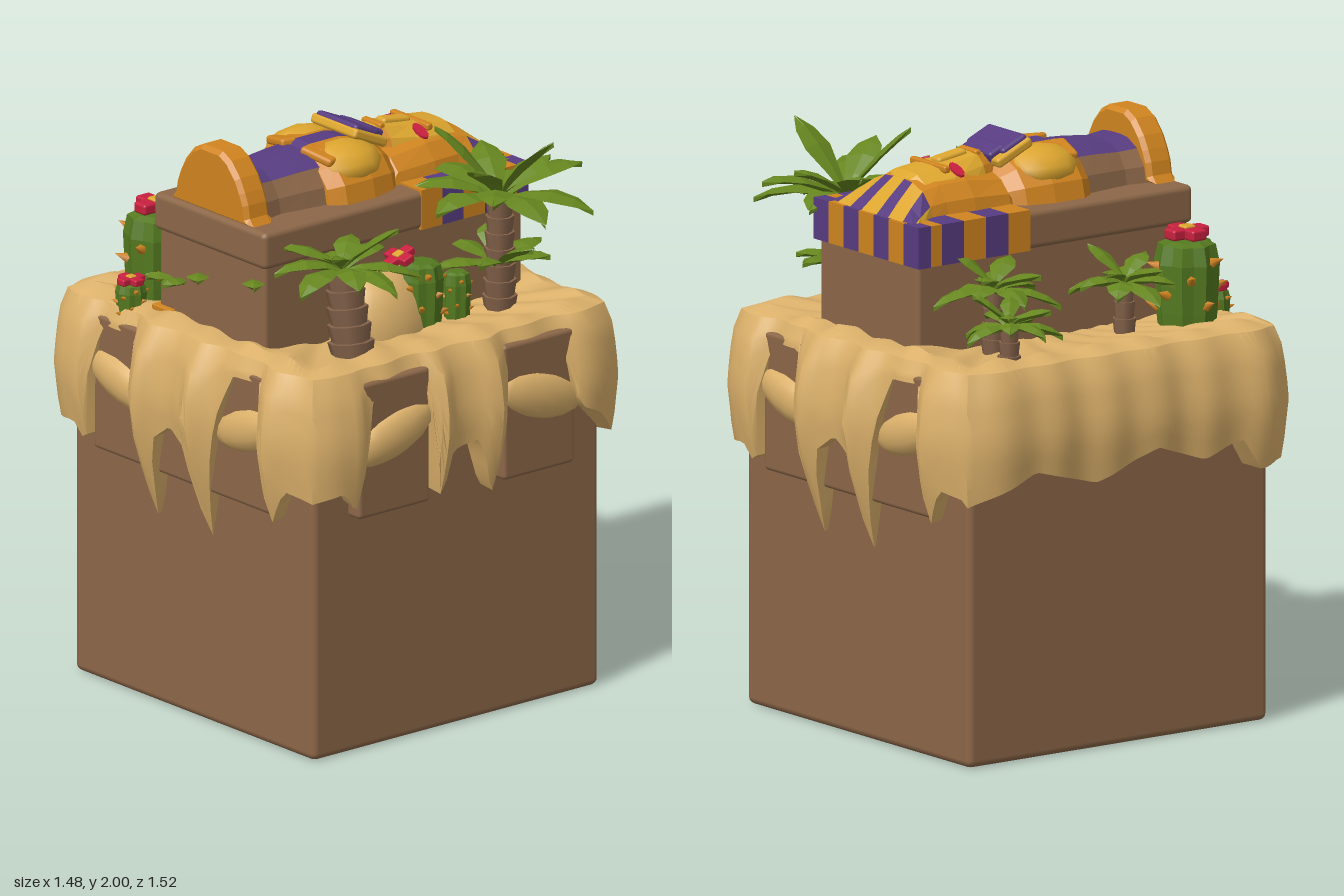
import * as THREE from 'three';
import { toCreasedNormals } from 'three/addons/utils/BufferGeometryUtils.js';
import { RoundedBoxGeometry } from 'three/addons/geometries/RoundedBoxGeometry.js';

const mat = (name, color, extra = {}) => Object.assign(new THREE.MeshStandardMaterial({ color, ...extra }), { name });
const M = {
  stone: mat('stone', 0x8c6748), trunk: mat('bark', 0x84624a),
  sand: mat('sand', 0xdbb06a, { side: THREE.DoubleSide }),
  leaf: mat('leaf green', 0x66861f), cactus: mat('cactus green', 0x547a20),
  gold: mat('gold', 0xdca52e), orange: mat('orange', 0xd0841f),
  purple: mat('purple', 0x573c80), red: mat('red', 0xc8203f),
};
const V = (x, y, z) => new THREE.Vector3(x, y, z);

function add(parent, name, geo, material, x = 0, y = 0, z = 0, rx = 0, ry = 0, rz = 0) {
  const m = new THREE.Mesh(geo, material);
  m.name = name;
  m.position.set(x, y, z);
  m.rotation.set(rx, ry, rz);
  parent.add(m);
  return m;
}
const box = (w, h, d, r = 0.015) => new RoundedBoxGeometry(w, h, d, 2, r);

// Skin over rows of points; pick(row, column) gives a material index
function skin(rows, closed = false, pick = null) {
  const n = rows[0].length, pos = [], geo = new THREE.BufferGeometry();
  for (let i = 0; i < rows.length - 1; i++) {
    for (let j = 0; j < (closed ? n : n - 1); j++) {
      const k = (j + 1) % n;
      const [a, b, c, d] = [rows[i][j], rows[i + 1][j], rows[i + 1][k], rows[i][k]];
      if (pick) geo.addGroup(pos.length / 3, 6, pick(i, j));
      for (const p of [a, b, c, a, c, d]) pos.push(p.x, p.y, p.z);
    }
  }
  geo.setAttribute('position', new THREE.Float32BufferAttribute(pos, 3));
  geo.computeVertexNormals();
  return geo;
}

// Linear lookup in a list of [key, value]
function lookup(list, u) {
  for (let i = 1; i < list.length; i++) {
    const [a, va] = list[i - 1], [b, vb] = list[i];
    if (u <= b) return va + (vb - va) * Math.max(0, (u - a) / (b - a));
  }
  return list[list.length - 1][1];
}

// Sand blanket with a ragged hem: long drips, and gaps that bare the bricks
function sandGeometry() {
  const dripping = [[-0.62, 0.9], [-0.52, 0.92], [-0.48, 0.83], [-0.45, 1.15], [-0.42, 1.28], [-0.27, 1.28], [-0.23, 0.95],
    [-0.16, 0.65], [-0.11, 0.97], [-0.03, 1.03], [0.05, 0.98], [0.1, 0.65], [0.16, 0.93], [0.2, 1.12], [0.27, 1.28], [0.4, 1.28],
    [0.44, 1.0], [0.47, 0.81], [0.53, 0.95], [0.62, 0.92]];
  const side = [[-0.62, 0.92], [-0.52, 0.95], [-0.48, 0.85], [-0.43, 1.15], [-0.4, 1.28], [-0.18, 1.28], [-0.15, 1.0],
    [-0.12, 0.83], [-0.08, 1.0], [0.03, 1.02], [0.1, 0.8], [0.15, 1.05], [0.18, 1.25], [0.42, 1.25], [0.46, 1.04], [0.53, 1.0], [0.62, 0.9]];
  const smooth = [[-0.62, 0.9], [-0.4, 1.0], [-0.15, 0.93], [0.1, 1.02], [0.3, 0.95], [0.45, 1.0], [0.52, 0.88], [0.62, 0.9]];
  const bulge = [[0.65, 0.005], [0.83, 0.06], [0.95, 0.095], [1.1, 0.118], [1.2, 0.105], [1.3, 0.08], [1.36, 0.035]];
  const hems = [dripping, side, dripping, smooth], N = 60, S = 0.615;
  const rows = Array.from({ length: 13 }, () => []);
  for (let s = 0; s < 4; s++) for (let i = 0; i < N; i++) {
    const u = -1 + 2 * i / N, j = s * N + i;
    const [x, z] = [[u, 1], [1, -u], [-u, -1], [-1, u]][s];
    const hem = lookup(hems[s], u * 0.62);
    const reach = THREE.MathUtils.clamp(1.88 - hem, 0.5, 1.2);
    const wob = 0.012 * Math.sin(j * 0.62) + 0.009 * Math.sin(j * 0.27 + 1);
    const nx = Math.sign(x) * Math.abs(x) ** 7, nz = Math.sign(z) * Math.abs(z) ** 7;
    const nl = Math.hypot(nx, nz) ** 2.3;
    const put = (k, scale, off, y) => rows[k].push(V(x * S * scale + nx / nl * off - 0.008, y, z * S * scale + nz / nl * off));
    put(0, 0, 0, 1.33);
    put(1, 0.6, 0, 1.335 + wob * 0.3);
    put(2, 0.85, 0, 1.355 + wob * 0.6);
    put(3, 0.96, 0, 1.37 + wob * 0.6);
    for (let k = 0; k < 8; k++) {
      const y = 1.35 + (hem - 1.35) * k / 7;
      put(4 + k, 1, lookup(bulge, y) * reach + wob * 0.6, y);
    }
    put(12, 1, -0.02, hem + 0.01);
  }
  return toCreasedNormals(skin(rows, true), 0.6);
}

// Thick, gently folded, pointed leaf growing along +z
function leafGeometry(len, wide, rise, droop) {
  const rows = [[0, 0.12], [0.25, 0.55], [0.55, 1], [0.8, 0.72], [1, 0.04]].map(([t, w]) => {
    const y = rise * t - droop * t * t, h = w * wide / 2;
    return [V(-h, y, t * len), V(0, y + 0.01 * w + 0.003, t * len), V(h, y, t * len), V(0, y - 0.016, t * len)];
  });
  return skin(rows, true);
}

function leaves(parent, x, y, z, len, wide, n, rise, droop, phase = 0) {
  for (let i = 0; i < n; i++) {
    const v = 1 + 0.12 * Math.sin(i * 2.3 + phase);
    add(parent, 'leaf', leafGeometry(len * v, wide, rise * (1 + 0.4 * Math.sin(i * 1.9)), droop), M.leaf,
      x, y, z, 0, phase + i * Math.PI * 2 / n, 0);
  }
}

// Ringed, leaning trunk with two tiers of leaves
function palm(parent, name, x, z, y0, y1, r, len, wide, n, phase, lean = 0, lift = 0.4) {
  const g = new THREE.Group();
  g.name = name;
  parent.add(g);
  const rings = Math.max(3, Math.round((y1 - y0) / 0.055)), h = (y1 - y0) / rings;
  for (let i = 0; i < rings; i++) {
    const q = r * (1 - 0.25 * i / rings);
    add(g, 'trunkRing', new THREE.CylinderGeometry(q, q * 0.85, h, 8), M.trunk, x + lean * (1 - i / rings), y0 + h * (i + 0.5), z, 0, 0, lean * 3);
  }
  leaves(g, x, y1, z, len, wide, n, len * lift, len * 0.48, phase);
  leaves(g, x, y1 + 0.02, z, len * 0.75, wide * 0.9, Math.ceil(n / 2), len * (lift + 0.15), len * 0.2, phase + 0.4);
}

function flower(parent, x, y, z, r, tilt = 0) {
  const g = new THREE.Group();
  g.name = 'flower';
  g.position.set(x, y, z);
  g.rotation.x = tilt;
  parent.add(g);
  for (let i = 0; i < 4; i++) {
    const a = i * Math.PI / 2;
    add(g, 'petal', box(r * 0.8, r * 0.5, r * 0.8, r * 0.12), M.red, Math.sin(a) * r * 0.6, 0, Math.cos(a) * r * 0.6);
  }
  add(g, 'flowerCentre', box(r * 0.6, r * 0.5, r * 0.6, r * 0.1), M.gold, 0, r * 0.1, 0);
}

// Ribbed barrel cactus with thorns
function cactus(parent, x, z, r, y0, y1) {
  const g = new THREE.Group();
  g.name = 'cactus';
  parent.add(g);
  const h = y1 - y0;
  const rows = [[0, 1], [0.6, 1], [0.85, 0.96], [0.97, 0.75], [0.9, 0.2], [0.85, 0]].map(([w, t]) =>
    Array.from({ length: 16 }, (_, j) => {
      const a = j * Math.PI / 8, q = r * w * (j % 2 ? 0.87 : 1);
      return V(Math.sin(a) * q, y0 + h * t, Math.cos(a) * q);
    }));
  add(g, 'cactusBody', skin(rows, true), M.cactus, x, 0, z);
  for (let i = 0; i < 12; i++) {
    const a = i * 2.4, t = add(g, 'thorn', new THREE.ConeGeometry(r * 0.17, r * 0.42, 5), M.orange,
      x + Math.sin(a) * r * 1.02, y0 + h * (0.2 + 0.06 * i), z + Math.cos(a) * r * 1.02);
    t.quaternion.setFromUnitVectors(V(0, 1, 0), V(Math.sin(a), 0.4, Math.cos(a)).normalize());
  }
}

// Low dome swept along z: sections are [z, halfWidth, height]
const DOME = [[-1, 0], [-0.93, 0.4], [-0.7, 0.78], [-0.4, 0.97], [-0.16, 1], [0.16, 1], [0.4, 0.97], [0.7, 0.78], [0.93, 0.4], [1, 0]];
function dome(parent, name, sections, materials, pick) {
  add(parent, name, skin(sections.map(([z, w, h]) => DOME.map(([x, y]) => V(x * w, y * h, z))), false, pick), materials, 0.02, 1.765, 0);
}

function coffin(root) {
  const g = new THREE.Group();
  g.name = 'coffin';
  root.add(g);
  add(g, 'chest', box(0.55, 0.42, 1.12), M.stone, 0.025, 1.45, 0.01);
  add(g, 'lidSlab', box(0.58, 0.13, 1.14, 0.02), M.stone, 0.02, 1.705, 0.01);
  add(g, 'baseTrim', box(0.1, 0.02, 0.06, 0.005), M.orange, -0.215, 1.37, 0.56);

  // Striped cloth hanging over the head end of the slab
  for (let i = 0; i < 5; i++) for (const s of [-1, 1])
    add(g, 'clothBand', new THREE.BoxGeometry(0.16, 0.14, 0.092), i % 2 ? M.purple : M.orange, 0.02 + s * 0.212, 1.707, -0.146 - i * 0.092);
  for (let i = 0; i < 7; i++)
    add(g, 'clothEndStripe', new THREE.BoxGeometry(0.586 / 7, 0.142, 0.05), i % 2 ? M.orange : M.purple, 0.02 + (i - 3) * 0.586 / 7, 1.707, -0.54);

  dome(g, 'headdress', [[-0.555, 0.265, 0.012], [-0.5, 0.23, 0.06], [-0.43, 0.19, 0.115], [-0.36, 0.185, 0.13], [-0.25, 0.195, 0.135], [-0.1, 0.185, 0.11], [-0.06, 0.18, 0]],
    [M.orange, M.purple, M.gold], (i, j) => i < 2 ? (j % 2 ? 1 : 2) : (j === 4 ? 2 : 0));
  dome(g, 'face', [[-0.46, 0.1, 0.09], [-0.4, 0.155, 0.135], [-0.28, 0.165, 0.15], [-0.24, 0.15, 0.155], [-0.14, 0.12, 0.17], [-0.08, 0.09, 0.165], [-0.05, 0.08, 0]],
    [M.gold, M.orange], (i, j) => j < 1 || j > 7 || i === 4 && (j < 3 || j > 5) ? 1 : 0);
  add(g, 'brow', box(0.2, 0.025, 0.025, 0.008), M.orange, 0.02, 1.906, -0.3);
  add(g, 'nose', box(0.05, 0.035, 0.12, 0.012), M.gold, 0.02, 1.92, -0.22, -0.15);
  add(g, 'mouth', box(0.1, 0.025, 0.025, 0.008), M.orange, 0.02, 1.93, -0.135);
  for (const s of [-1, 1])
    add(g, 'eye', new THREE.CylinderGeometry(0.038, 0.038, 0.009, 10), M.red, 0.02 + s * 0.096, 1.9, -0.26, 0, 0, s * -0.45).scale.z = 0.52;

  // Chest with folded arms, beard and wrapped legs
  dome(g, 'torso', [[-0.12, 0.15, 0.1], [-0.05, 0.21, 0.15], [0.05, 0.235, 0.17], [0.17, 0.235, 0.17], [0.22, 0.2, 0.14], [0.23, 0.16, 0.1]],
    [M.orange, M.purple], (i, j) => j === 4 ? 1 : 0);
  for (const s of [-1, 1]) {
    add(g, 'foldedArm', new THREE.IcosahedronGeometry(1, 1), M.gold, 0.02 + s * 0.12, 1.878, 0.08, 0, 0, s * -0.3).scale.set(0.1, 0.064, 0.13);
    add(g, 'forearm', box(0.13, 0.03, 0.06, 0.012), M.orange, 0.02 + s * 0.1, 1.912, 0.18, 0, s * 0.25, s * -0.2);
  }
  add(g, 'beardBorder', box(0.235, 0.035, 0.155, 0.012), M.gold, 0.02, 1.93, -0.03, -0.42);
  add(g, 'beardTop', box(0.17, 0.045, 0.07, 0.012), M.purple, 0.02, 1.925, -0.075, -0.42);
  add(g, 'beard', box(0.21, 0.045, 0.11, 0.012), M.purple, 0.02, 1.945, -0.018, -0.42);
  dome(g, 'legs', [[0.2, 0.19, 0.155], [0.3, 0.175, 0.15], [0.4, 0.16, 0.14], [0.5, 0.18, 0.15]],
    [M.stone, M.purple], (i, j) => j < 2 || j > 6 ? 0 : 1);

  // Arched foot board
  const arch = new THREE.Shape([[0.21, 0], [0.19, 0.025], [0.182, 0.07], [0.165, 0.11], [0.14, 0.155], [0.095, 0.205], [0.05, 0.228],
    [-0.05, 0.228], [-0.095, 0.205], [-0.14, 0.155], [-0.165, 0.11], [-0.182, 0.07], [-0.19, 0.025], [-0.21, 0]].map(p => new THREE.Vector2(...p)));
  add(g, 'footBoard', new THREE.ExtrudeGeometry(arch, { depth: 0.075, bevelSize: 0.015, bevelThickness: 0.015, bevelOffset: -0.015, bevelSegments: 1 }), M.orange, 0.02, 1.77, 0.485);
}

export function createModel() {
  const root = new THREE.Group();
  add(root, 'block', box(1.245, 1.32, 1.245, 0.025), M.stone, -0.008, 0.66, 0);

  // Projecting bricks, and sand tongues lying across them
  const tongue = new THREE.SphereGeometry(1, 14, 8);
  for (const s of [-1, 1]) {
    add(root, 'longBrick', box(0.94, 0.475, 0.1), M.stone, -0.01, 1.07, s * 0.615);
    add(root, 'sideBrick', box(0.1, 0.475, 0.31), M.stone, 0.62, 1.07, s * 0.315);
    for (const e of [-1, 1])
      add(root, 'sandTongue', tongue, M.sand, -0.01 + e * 0.33, 1.1, s * 0.65, 0, 0, e * 0.3).scale.set(0.18, 0.075, 0.05);
    add(root, 'sandTongue', tongue, M.sand, 0.655, 1.1, s * 0.32, s * 0.3).scale.set(0.05, 0.08, 0.19);
  }
  add(root, 'sandBlanket', sandGeometry(), M.sand);
  add(root, 'sandMound', new THREE.SphereGeometry(1, 20, 12), M.sand, 0.3, 1.33, 0.08).scale.set(0.15, 0.23, 0.21);

  coffin(root);

  palm(root, 'frontPalm', 0.45, 0.36, 1.34, 1.63, 0.08, 0.25, 0.105, 8, 0.3, 0.05);
  palm(root, 'backPalm', 0.42, -0.35, 1.33, 1.72, 0.06, 0.3, 0.135, 9, 0.1, 0, 0.55);
  palm(root, 'smallPalm', -0.57, -0.41, 1.33, 1.47, 0.04, 0.165, 0.075, 7, 0.5);
  palm(root, 'sidePalm', -0.35, -0.31, 1.33, 1.54, 0.045, 0.2, 0.1, 7, 0.2);
  palm(root, 'leftBush', -0.38, 0.21, 1.33, 1.5, 0.04, 0.18, 0.095, 8, 0);
  leaves(root, 0.43, 1.5, -0.33, 0.2, 0.1, 7, 0.12, 0.06, 0.6);

  // Leaf sprigs poking out by the foot of the coffin
  for (const [x, y, a] of [[-0.17, 1.48, -0.9], [-0.06, 1.53, 0.8], [-0.12, 1.49, 0], [0.22, 1.58, 0.9]])
    add(root, 'sprig', leafGeometry(0.11, 0.08, 0.03, 0.02), M.leaf, x, y, 0.555, 0, a, 0);

  cactus(root, -0.42, 0.44, 0.115, 1.33, 1.63);
  flower(root, -0.42, 1.655, 0.44, 0.075);
  cactus(root, -0.36, 0.6, 0.055, 1.31, 1.43);
  flower(root, -0.36, 1.44, 0.6, 0.048);
  cactus(root, 0.38, -0.04, 0.08, 1.33, 1.56);
  cactus(root, 0.4, -0.18, 0.05, 1.33, 1.5);
  flower(root, 0.37, 1.59, 0.045, 0.055, 0.35);
  return root;
}
